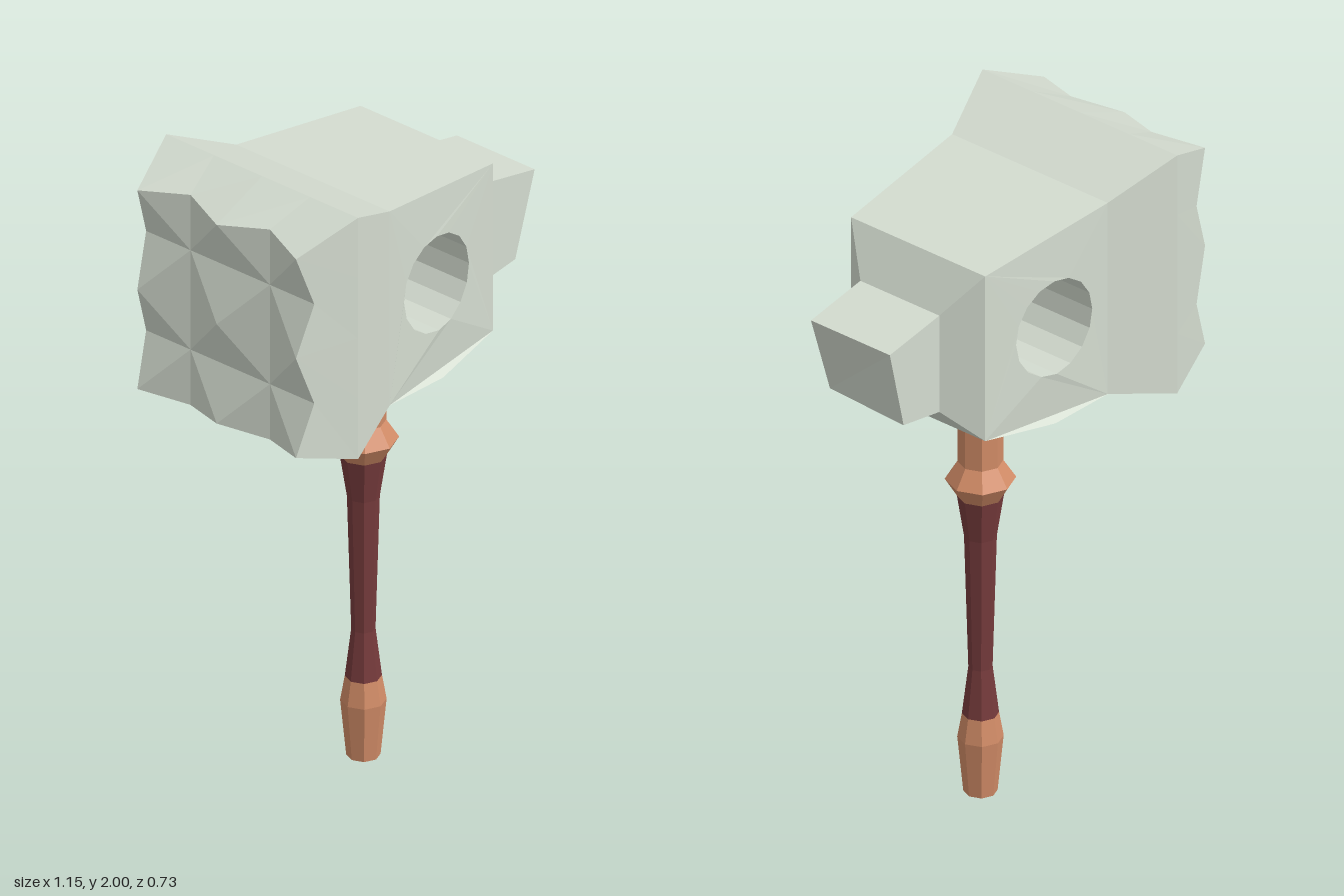
import * as THREE from 'three';

const mat = (name, color) => {
  const m = new THREE.MeshStandardMaterial({ color, flatShading: true });
  m.name = name;
  return m;
};

// Collects triangles and quads given as [x, y, z] corners, counter-clockwise from outside
class Faces {
  constructor() { this.data = []; }
  tri(a, b, c) { this.data.push(...a, ...b, ...c); }
  quad(a, b, c, d) { this.tri(a, b, c); this.tri(a, c, d); }
  // Skin between two matching rings, the first at the lower x
  skin(r0, r1) {
    r0.forEach((p, i) => {
      const n = (i + 1) % r0.length;
      this.quad(p, r0[n], r1[n], r1[i]);
    });
  }
  mesh(name, material) {
    const g = new THREE.BufferGeometry();
    g.setAttribute('position', new THREE.Float32BufferAttribute(this.data, 3));
    g.computeVertexNormals();
    const m = new THREE.Mesh(g, material);
    m.name = name;
    return m;
  }
}

// Rectangular cross-section of the head
const ring = (x, y0, y1, z) => [[x, y0, z], [x, y0, -z], [x, y1, -z], [x, y1, z]];

// Square border of a 5 x 5 grid, in the same order as ring()
function border(point) {
  const out = [];
  for (let k = 0; k < 4; k++) out.push(point(4 - k, 0));
  for (let k = 0; k < 4; k++) out.push(point(0, k));
  for (let k = 0; k < 4; k++) out.push(point(k, 4));
  for (let k = 0; k < 4; k++) out.push(point(4, 4 - k));
  return out;
}

function strikingFace(stone) {
  const f = new Faces();
  // Valleys on the rim sit on the flared sides, so the bevel stays nearly flat
  const flare = (k, other) => (k % 4 === 0 && other % 2 ? Math.sign(k - 2) * 0.018 : 0);
  const tip = (i, j) => [
    i % 2 || j % 2 ? -0.522 : -0.578,
    1.29 + 0.1575 * j + flare(j, i),
    -0.3 + 0.15 * i + flare(i, j),
  ];
  const base = (i, j) => [-0.39, 1.235 + 0.19125 * j, -0.363 + 0.1815 * i];
  // Blunt pyramids
  for (let i = 0; i < 4; i++) {
    for (let j = 0; j < 4; j++) {
      const a = tip(i, j), b = tip(i + 1, j), c = tip(i + 1, j + 1), d = tip(i, j + 1);
      if ((i + j) % 2) f.quad(b, c, d, a);
      else f.quad(a, b, c, d);
    }
  }
  f.skin(border(tip), border(base));
  return f.mesh('strikingFace', stone);
}

function headBody(stone) {
  const f = new Faces();
  const wide = ring(-0.39, 1.235, 2.0, 0.363);
  const neck = ring(-0.18, 1.295, 1.91, 0.29);
  const front = ring(0.29, 1.33, 1.86, 0.25);
  f.skin(wide, neck);

  // Top, and a bottom that bends under the middle
  f.quad(neck[2], neck[3], front[3], front[2]);
  const mid = [[0.04, 1.295, 0.29], [0.04, 1.295, -0.29]];
  f.quad(neck[0], neck[1], mid[1], mid[0]);
  f.quad(mid[0], mid[1], front[1], front[0]);

  // Both flanks, pierced by a round hole and swelling towards the bent bottom edge
  const depth = (x, y) => {
    const straight = 0.29 - 0.04 * (x + 0.18) / 0.47;
    const bent = 0.29 - 0.04 * Math.max(0, x - 0.04) / 0.25;
    return THREE.MathUtils.lerp(bent, straight, THREE.MathUtils.clamp((y - 1.295) / 0.59, 0, 1));
  };
  const shape = new THREE.Shape([neck[0], mid[0], front[0], front[3], neck[3]]
    .map(([x, y]) => new THREE.Vector2(x, y)));
  const rim = Array.from({ length: 16 }, (_, i) => {
    const a = (i / 16) * Math.PI * 2;
    return new THREE.Vector2(0.029 + 0.147 * Math.cos(a), 1.595 + 0.147 * Math.sin(a));
  });
  shape.holes.push(new THREE.Path(rim));
  const flank = new THREE.ShapeGeometry(shape).toNonIndexed().attributes.position;
  for (let i = 0; i < flank.count; i += 3) {
    const corner = (k, side) => {
      const x = flank.getX(i + k), y = flank.getY(i + k);
      return [x, y, side * depth(x, y)];
    };
    f.tri(corner(0, 1), corner(1, 1), corner(2, 1));
    f.tri(corner(2, -1), corner(1, -1), corner(0, -1));
  }
  // Hole wall, facing inwards
  const at = (p, side) => [p.x, p.y, side * depth(p.x, p.y)];
  rim.forEach((p, i) => {
    const q = rim[(i + 1) % rim.length];
    f.quad(at(p, 1), at(q, 1), at(q, -1), at(p, -1));
  });
  return f.mesh('headBody', stone);
}

function headBeak(stone) {
  const f = new Faces();
  const front = ring(0.29, 1.33, 1.86, 0.25);
  const root = ring(0.367, 1.418, 1.728, 0.147);
  const end = [[0.495, 1.437, 0.147], [0.517, 1.44, -0.147], [0.575, 1.69, -0.147], [0.575, 1.69, 0.147]];
  f.skin(front, root);
  f.skin(root, end);
  f.quad(...end);
  return f.mesh('headBeak', stone);
}

export function createModel() {
  const stone = mat('paleStone', 0xd4dcd0);
  const copper = mat('copper', 0xd28c67);
  const leather = mat('darkRedLeather', 0x763b3c);

  const model = new THREE.Group();
  model.name = 'warHammer';

  const head = new THREE.Group();
  head.name = 'head';
  head.add(strikingFace(stone), headBody(stone), headBeak(stone));

  // Eight-sided handle turned from [radius, height] profiles
  const handle = new THREE.Group();
  handle.name = 'handle';
  handle.position.x = 0.028;
  const turned = (name, profile, material) => {
    const points = profile.map(([r, y]) => new THREE.Vector2(r, y));
    const m = new THREE.Mesh(new THREE.LatheGeometry(points, 8), material);
    m.name = name;
    handle.add(m);
  };
  turned('pommel', [[0, 0], [0.048, 0], [0.065, 0.175], [0.052, 0.25]], copper);
  turned('grip', [[0.052, 0.25], [0.034, 0.4], [0.046, 0.82], [0.066, 0.95]], leather);
  turned('collar', [[0.066, 0.95], [0.1, 1.005], [0.064, 1.06], [0.064, 1.195], [0.106, 1.305]], copper);

  model.add(head, handle);
  return model;
}
